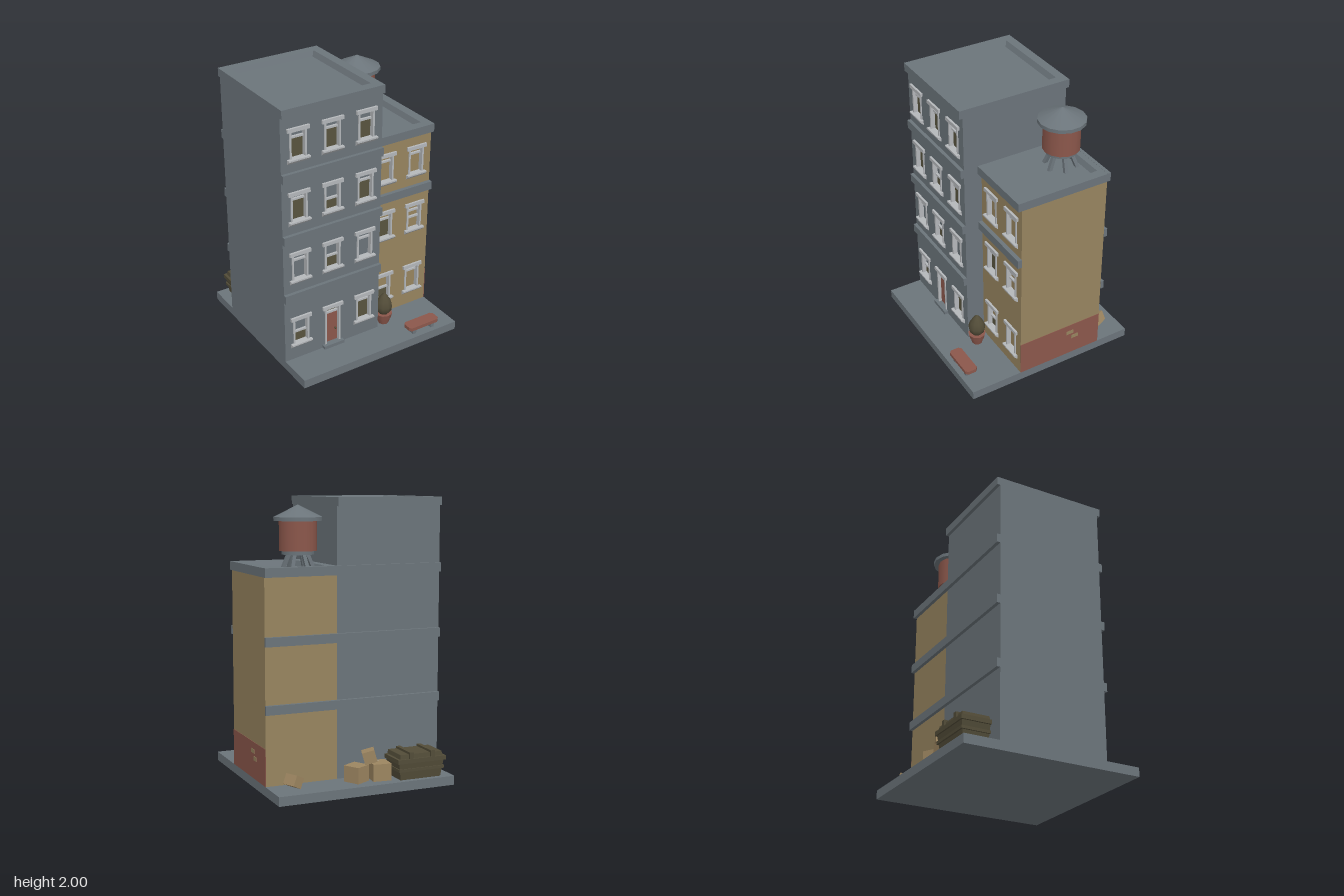
import * as THREE from 'three';

const mat = (name, color) => Object.assign(new THREE.MeshStandardMaterial({ color }), { name });

export function createModel() {
  const grey = mat('slate grey', 0x6b747a), tan = mat('tan wall', 0x97845f), red = mat('brick red', 0x8b574b);
  const trim = mat('pale trim', 0xb4b7ba), dark = mat('dark glass', 0x58543f), olive = mat('dark olive', 0x524c38);
  const card = mat('cardboard', 0x9c8560);
  const root = new THREE.Group();
  root.name = 'townhouses';

  const add = (parent, name, geo, m, x = 0, y = 0, z = 0) => {
    const mesh = new THREE.Mesh(geo, m);
    mesh.name = name;
    mesh.position.set(x, y, z);
    parent.add(mesh);
    return mesh;
  };
  // Box given by its lower and upper limits on each axis
  const box = (parent, name, m, x0, x1, y0, y1, z0, z1) =>
    add(parent, name, new THREE.BoxGeometry(x1 - x0, y1 - y0, z1 - z0), m, (x0 + x1) / 2, (y0 + y1) / 2, (z0 + z1) / 2);
  const group = (name, x = 0, y = 0, z = 0) => {
    const g = new THREE.Group();
    g.name = name;
    g.position.set(x, y, z);
    root.add(g);
    return g;
  };
  // Closed solid through rectangular loops [x0, x1, z0, z1, y]
  const loopSolid = (loops) => {
    const pos = [], idx = [0, 2, 1, 0, 3, 2];
    loops.forEach(([x0, x1, z0, z1, y], k) => {
      pos.push(x0, y, z1, x1, y, z1, x1, y, z0, x0, y, z0);
      if (!k) return;
      for (let i = 0; i < 4; i++) {
        const j = (i + 1) % 4, a = 4 * k - 4, b = 4 * k;
        idx.push(a + i, a + j, b + j, a + i, b + j, b + i);
      }
    });
    const e = 4 * (loops.length - 1);
    idx.push(e, e + 1, e + 2, e, e + 2, e + 3);
    const g = new THREE.BufferGeometry();
    g.setAttribute('position', new THREE.Float32BufferAttribute(pos, 3));
    g.setIndex(idx);
    const flat = g.toNonIndexed();
    flat.computeVertexNormals();
    return flat;
  };

  const G = 0.065, B = -0.4, R = 0.03; // ground level, back wall, window recess
  box(root, 'groundSlab', grey, -0.655, 0.655, 0, G, -0.655, 0.655);

  // Facade panel with openings [x, y0, y1]
  const facade = (name, m, x0, x1, y1, z, holes) => {
    const rect = (P, a, b, c, d) => { const p = new P(); p.moveTo(a, c); p.lineTo(b, c); p.lineTo(b, d); p.lineTo(a, d); p.closePath(); return p; };
    const s = rect(THREE.Shape, x0, x1, G, y1);
    holes.forEach(([x, a, b]) => s.holes.push(rect(THREE.Path, x - 0.064, x + 0.064, a, b)));
    add(root, name, new THREE.ExtrudeGeometry(s, { depth: R, bevelEnabled: false }), m, 0, 0, z - R);
  };

  // Window sill: wedge with a sloping underside
  const sillShape = new THREE.Shape([[-0.026, 0.035], [-0.026, 0], [0.002, 0], [0.026, 0.024], [0.026, 0.035]]
    .map(([a, b]) => new THREE.Vector2(-a, b)));
  const sillGeo = new THREE.ExtrudeGeometry(sillShape, { depth: 0.165, bevelEnabled: false });
  sillGeo.rotateY(Math.PI / 2).translate(-0.0825, 0, 0);

  const frame = (g, y0) => {
    for (const s of [-1, 1]) box(g, 'upright', trim, s * 0.057 - 0.007, s * 0.057 + 0.007, y0, 0.228, -0.029, 0.007);
    box(g, 'windowHead', trim, -0.0825, 0.0825, 0.225, 0.252, -0.029, 0.016);
  };
  const makeWindow = (x, y, z, bars, glazed) => {
    const g = group('window', x, y, z);
    frame(g, 0.03);
    add(g, 'sill', sillGeo, trim);
    bars.forEach((b) => box(g, 'sashBar', trim, -0.05, 0.05, b, b + 0.014, -0.029, -0.012));
    if (glazed) box(g, 'glass', dark, -0.05, 0.05, 0.034, bars[0], -0.031, -0.025);
  };

  // Windows: [x, row, sash heights, dark glass]
  const rows = [0.163, 0.688, 1.145, 1.603];
  const tallWin = [
    [-0.525, 3, [0.17], 1], [-0.265, 3, [0.17], 1], [0, 3, [0.16], 1],
    [-0.525, 2, [0.18], 1], [-0.265, 2, [0.106], 1], [0, 2, [0.17], 1],
    [-0.525, 1, [0.17], 0], [-0.265, 1, [0.115], 1], [0, 1, [0.17], 0],
    [-0.525, 0, [0.11], 1], [0, 0, [0.18], 1]];
  const lowWin = [
    [0.265, 2, [0.175], 0], [0.525, 2, [0.175], 0], [0.265, 1, [0.17], 1],
    [0.525, 1, [0.115, 0.17], 0], [0.265, 0, [0.11], 1], [0.525, 0, [0.18], 0]];
  const holes = (list) => list.map(([x, r]) => [x, rows[r] + 0.02, rows[r] + 0.228]);
  for (const [list, z] of [[tallWin, 0.4], [lowWin, 0.265]])
    list.forEach(([x, r, bars, glazed]) => makeWindow(x, rows[r], z, bars, glazed));

  // Tall grey house and lower tan house
  box(root, 'tallBody', grey, -0.655, 0.13, G, 1.95, B, 0.4 - R);
  facade('tallFacade', grey, -0.655, 0.13, 1.95, 0.4, [...holes(tallWin), [-0.265, 0.09, 0.391]]);
  box(root, 'lowBody', tan, 0.13, 0.652, G, 1.49, B, 0.265 - R);
  facade('lowFacade', tan, 0.13, 0.652, 1.49, 0.265, holes(lowWin));

  // Front door
  const door = group('frontDoor', -0.265, 0.163, 0.4);
  frame(door, -0.075);
  box(door, 'doorLeaf', red, -0.05, 0.05, -0.075, 0.185, -0.029, -0.016);
  box(door, 'transomBar', trim, -0.05, 0.05, 0.172, 0.188, -0.029, -0.01);
  box(door, 'transomGlass', dark, -0.05, 0.05, 0.188, 0.226, -0.031, -0.025);
  add(door, 'doorKnob', new THREE.SphereGeometry(0.009, 10, 8), olive, 0.032, 0.027, -0.01);
  box(door, 'doorStep', grey, -0.0825, 0.0825, -0.098, -0.073, -0.029, 0.03);

  // Ledges
  for (const y of [0.56, 1.02, 1.48]) {
    box(root, 'backLedge', grey, -0.655, 0.655, y, y + 0.063, -0.425, B);
    box(root, 'tallFrontLedge', grey, -0.655, 0.13, y, y + 0.063, 0.4, 0.425);
  }
  box(root, 'lowFrontLedge', grey, 0.13, 0.655, 1.02, 1.083, 0.265, 0.295);

  // Roof caps with sunken floors
  const roof = (name, x0, x1, z0, z1, y0, y1, a0, a1, c0, c1) => {
    const i = 0.018;
    add(root, name, loopSolid([[x0, x1, z0, z1, y0], [x0, x1, z0, z1, y1], [a0, a1, c0, c1, y1],
      [a0 + i, a1 - i, c0 + i, c1 - i, y1 - 0.038]]), grey);
  };
  roof('tallRoof', -0.655, 0.13, -0.425, 0.425, 1.94, 2, -0.588, 0.063, -0.36, 0.355);
  roof('lowRoof', 0.13, 0.655, -0.425, 0.295, 1.48, 1.542, 0.195, 0.587, -0.36, 0.225);

  // Exposed brick on the side wall
  box(root, 'brickPlate', red, 0.65, 0.655, G, 0.325, B, 0.265);
  box(root, 'paleBrick', tan, 0.652, 0.657, 0.245, 0.275, -0.18, -0.12);
  box(root, 'paleBrick', tan, 0.652, 0.657, 0.197, 0.227, -0.222, -0.163);

  // Water tank
  const tank = group('waterTank', 0.345, 0, -0.23);
  add(tank, 'tankBarrel', new THREE.CylinderGeometry(0.13, 0.13, 0.21, 14), red, 0, 1.745, 0);
  add(tank, 'tankEave', new THREE.CylinderGeometry(0.167, 0.167, 0.026, 14), grey, 0, 1.855, 0);
  add(tank, 'tankRoof', new THREE.ConeGeometry(0.167, 0.082, 14, 1, true), grey, 0, 1.909, 0);
  add(tank, 'tankPlatform', new THREE.CylinderGeometry(0.113, 0.113, 0.026, 14), grey, 0, 1.628, 0);
  for (let i = 0; i < 6; i++) {
    const a = (i + 0.25) * Math.PI / 3;
    const p = new THREE.Vector3(Math.cos(a) * 0.062, 1.62, Math.sin(a) * 0.062);
    const q = new THREE.Vector3(Math.cos(a) * 0.112, 1.5, Math.sin(a) * 0.112);
    const leg = add(tank, 'tankLeg', new THREE.BoxGeometry(0.025, p.distanceTo(q), 0.025), grey);
    leg.position.copy(p).lerp(q, 0.5);
    leg.quaternion.setFromUnitVectors(new THREE.Vector3(0, 1, 0), p.sub(q).normalize());
  }

  // Bench with clipped corners
  const seat = new THREE.Shape();
  [[-0.13, 0.03], [-0.13, -0.03], [-0.112, -0.047], [0.112, -0.047], [0.13, -0.03], [0.13, 0.03], [0.112, 0.047], [-0.112, 0.047]]
    .forEach(([x, y], i) => (i ? seat.lineTo(x, y) : seat.moveTo(x, y)));
  const bench = group('bench', 0.39, 0, 0.585);
  add(bench, 'benchSeat', new THREE.ExtrudeGeometry(seat, { depth: 0.026, bevelEnabled: false }).rotateX(-Math.PI / 2), red, 0, 0.106, 0);
  for (const s of [-1, 1]) box(bench, 'benchLeg', grey, s * 0.08 - 0.014, s * 0.08 + 0.014, G, 0.107, -0.032, 0.032);

  // Potted shrub
  const lathe = (pts, n) => new THREE.LatheGeometry(pts.map(([r, y]) => new THREE.Vector2(r, y)), n);
  const plant = group('pottedShrub', 0.205, 0, 0.367);
  add(plant, 'pot', new THREE.CylinderGeometry(0.053, 0.038, 0.05, 9), red, 0, 0.09, 0);
  add(plant, 'potRim', new THREE.CylinderGeometry(0.065, 0.054, 0.042, 9), red, 0, 0.13, 0);
  add(plant, 'shrub', lathe([[0, 0.14], [0.035, 0.148], [0.058, 0.18], [0.063, 0.215], [0.05, 0.257], [0.024, 0.297], [0, 0.32]], 9), olive);

  // Rubbish bin behind the tall house
  const bin = group('rubbishBin', -0.41, 0, -0.533);
  add(bin, 'binBody', loopSolid([[-0.155, 0.155, -0.082, 0.1, G], [-0.175, 0.175, -0.098, 0.105, 0.2]]), olive);
  box(bin, 'binBand', olive, -0.175, 0.175, 0.125, 0.145, -0.1, 0.106);
  box(bin, 'binRim', olive, -0.185, 0.185, 0.185, 0.215, -0.107, 0.108);
  add(bin, 'binLid', loopSolid([[-0.165, 0.165, -0.092, 0.106, 0.215], [-0.16, 0.16, -0.088, 0.104, 0.245]]), olive);
  for (const x of [-0.083, 0.08]) box(bin, 'lidStrap', olive, x - 0.016, x + 0.016, 0.215, 0.26, -0.103, 0.106);

  // Cardboard boxes: [x, y, z, width, height, depth, turn, tilt]
  [[-0.14, 0.125, -0.515, 0.13, 0.12, 0.13, -0.1, 0], [0.03, 0.122, -0.505, 0.122, 0.114, 0.125, 0.5, 0],
    [-0.068, 0.232, -0.505, 0.088, 0.085, 0.1, -0.38, -0.28], [0.493, 0.117, -0.502, 0.075, 0.075, 0.1, 0.43, 0.45]]
    .forEach(([x, y, z, w, h, d, turn, tilt]) => {
      const b = add(root, 'cardboardBox', new THREE.BoxGeometry(w, h, d), card, x, y, z);
      b.rotation.set(0, turn, tilt, 'YXZ');
    });
  box(root, 'boxLabel', trim, -0.145, -0.125, 0.184, 0.187, -0.495, -0.475);

  return root;
}
